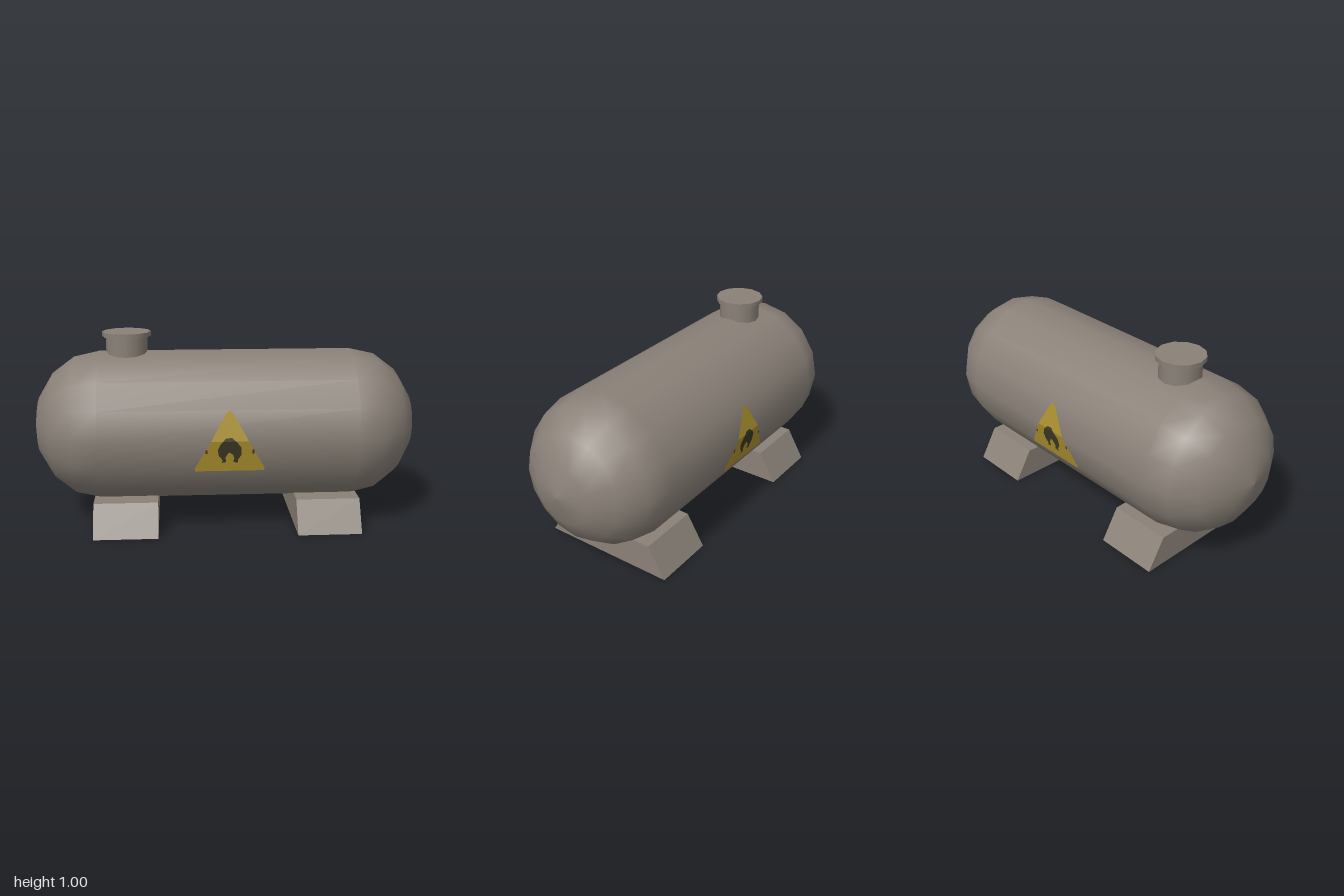
import * as THREE from 'three';

const R = 0.39, AXIS_Y = 0.515, SIDES = 16;

const steel = new THREE.MeshStandardMaterial({ color: 0x8a8178, side: THREE.DoubleSide });
steel.name = 'warm grey steel';
const yellow = new THREE.MeshStandardMaterial({ color: 0xac922f });
yellow.name = 'warning yellow';
const dark = new THREE.MeshStandardMaterial({ color: 0x3d3826 });
dark.name = 'sign black';

function add(parent, name, geometry, material, x = 0, y = 0, z = 0) {
  const mesh = new THREE.Mesh(geometry, material);
  mesh.name = name;
  mesh.position.set(x, y, z);
  parent.add(mesh);
  return mesh;
}

// Capsule profile: two shallow domes joined by a straight barrel
function tankGeometry() {
  const points = [];
  for (const end of [-1, 1]) {
    for (let i = 0; i <= 4; i++) {
      const a = ((end < 0 ? i : 4 - i) / 4) * Math.PI / 2;
      points.push(new THREE.Vector2(R * Math.sin(a), end * (0.65 + 0.35 * Math.cos(a))));
    }
  }
  return new THREE.LatheGeometry(points, SIDES).rotateZ(-Math.PI / 2);
}

// Sloped saddle foot, hollow and open underneath
function footGeometry() {
  const g = new THREE.BoxGeometry(0.33, 0.16, 0.72);
  const p = g.attributes.position;
  for (let i = 0; i < p.count; i++) {
    if (p.getY(i) > 0) p.setZ(i, p.getZ(i) * 0.735);
  }
  const index = Array.from(g.index.array);
  index.splice(18, 6); // bottom face
  g.setIndex(index);
  g.clearGroups();
  g.computeVertexNormals();
  return g;
}

// Keep the part of an outline above (side = 1) or below (side = -1) the tank's axis
function clip(outline, side) {
  const out = [];
  outline.forEach(([x, y], i) => {
    const [nx, ny] = outline[(i + 1) % outline.length];
    if (y * side >= 0) out.push(new THREE.Vector2(x, y));
    if (y * ny < 0) out.push(new THREE.Vector2(x + (nx - x) * y / (y - ny), 0));
  });
  return out;
}

// Lay a flat outline on the two facets that meet at the tank's widest line
function addDecal(parent, name, outline, material, lift) {
  for (const side of [1, -1]) {
    const points = clip(outline, side);
    if (points.length < 3) continue;
    const g = new THREE.ShapeGeometry(new THREE.Shape(points));
    const p = g.attributes.position;
    for (let i = 0; i < p.count; i++) {
      p.setZ(i, R + lift - Math.abs(p.getY(i)) * Math.tan(Math.PI / SIDES));
    }
    g.computeVertexNormals();
    add(parent, name, g, material);
  }
}

// Warning triangle with a flame; heights are measured from the tank's axis
function createSign() {
  const sign = new THREE.Group();
  const mirror = (half) => [...half, ...half.slice().reverse().map(([x, y]) => [-x, y])];
  addDecal(sign, 'signTriangle',
    mirror([[0.172, -0.16], [0.174, -0.145], [0.016, 0.138], [0.006, 0.147]]), yellow, 0.003);
  // Flame outline with a small inner flame left open
  addDecal(sign, 'signFlame', [
    [-0.04, -0.115], [-0.018, -0.11], [-0.022, -0.085], [-0.005, -0.058], [0.015, -0.07],
    [0.022, -0.09], [0.017, -0.11], [0.042, -0.115], [0.04, -0.1], [0.058, -0.07],
    [0.055, -0.03], [0.035, -0.005], [0.01, 0.018], [-0.02, 0.015], [-0.045, -0.012],
    [-0.06, -0.045], [-0.055, -0.075], [-0.036, -0.1],
  ], dark, 0.006);
  for (const s of [-1, 1]) {
    const x = s * 0.116;
    addDecal(sign, 'signFleck',
      [[x - 0.006, -0.065], [x + 0.006, -0.065], [x + 0.004, -0.045], [x - 0.004, -0.045]], dark, 0.006);
  }
  return sign;
}

export function createModel() {
  const model = new THREE.Group();
  model.name = 'storageTank';

  add(model, 'tank', tankGeometry(), steel, 0, AXIS_Y, 0);

  // Filler neck and lid
  add(model, 'neck', new THREE.CylinderGeometry(0.107, 0.107, 0.14, 12, 1, true), steel, -0.51, 0.915, 0);
  add(model, 'neckLid', new THREE.CylinderGeometry(0.125, 0.125, 0.024, 12), steel, -0.51, 0.993, 0);

  // Feet
  const foot = footGeometry();
  add(model, 'rightFoot', foot, steel, -0.525, 0.08, 0);
  add(model, 'leftFoot', foot, steel, 0.518, 0.08, 0);

  // Signs on both flanks
  for (const [name, turn] of [['frontSign', 0], ['backSign', Math.PI]]) {
    const sign = createSign();
    sign.name = name;
    sign.position.y = AXIS_Y;
    sign.rotation.y = turn;
    model.add(sign);
  }
  return model;
}
